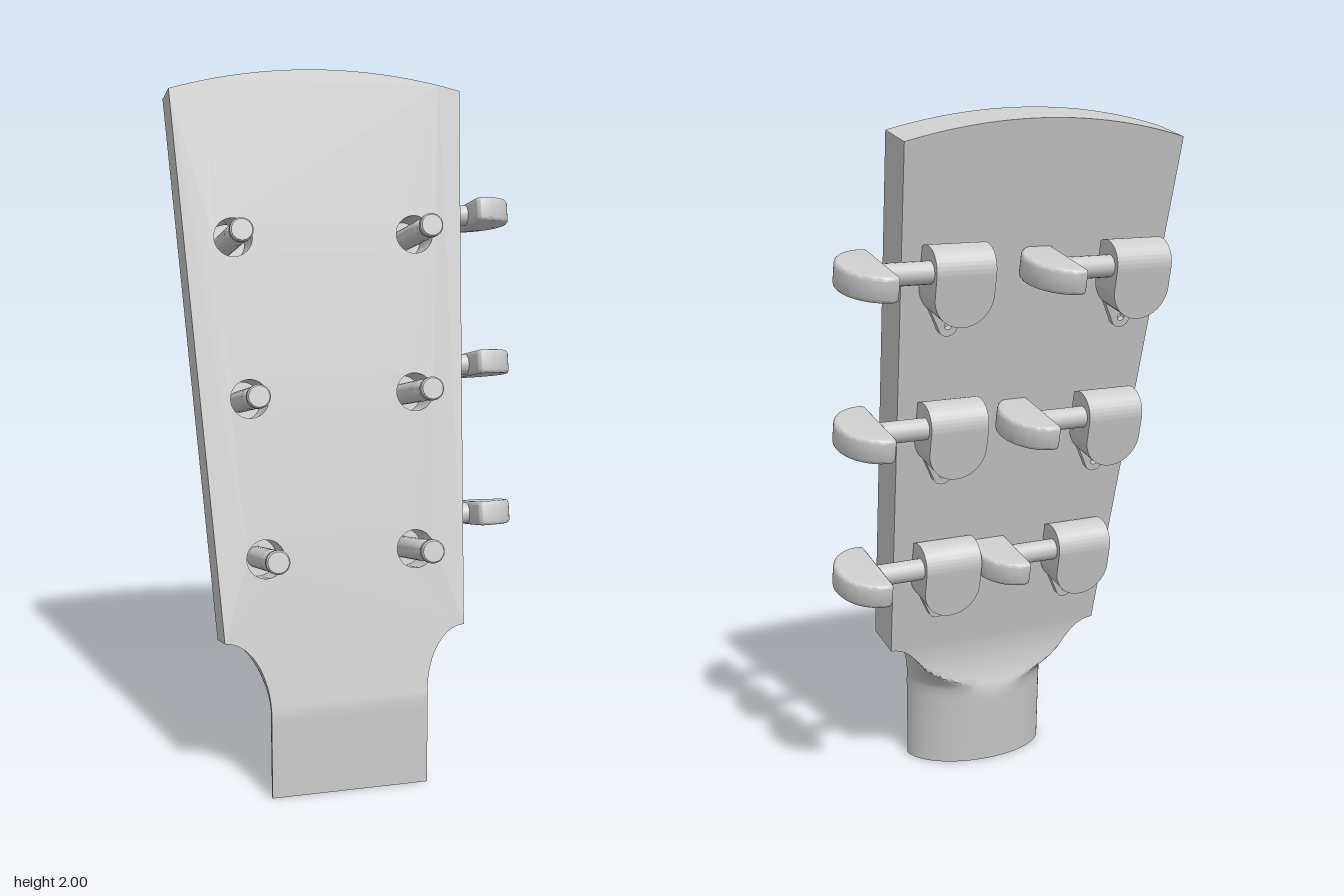
import * as THREE from 'three';
import { toCreasedNormals } from 'three/addons/utils/BufferGeometryUtils.js';

const MID = -0.097;      // centre line of the neck
const TILT = 0.211;      // backward lean of the headstock
const THICK = 0.125;     // headstock thickness
const BEND = 0.25;       // height where the lean starts
const FRONT = 0.275;     // z of the neck's front face
const FLARE = 0.2;       // length of the flare above the bend
const COLUMNS = [[-0.36, -0.337, -0.315], [0.165, 0.141, 0.117]];
const ROWS = [1.319, 0.869, 0.424];
const material = new THREE.MeshStandardMaterial({ color: 0xcccccc, side: THREE.DoubleSide });

function add(parent, name, geometry, x = 0, y = 0, z = 0) {
  const mesh = new THREE.Mesh(geometry, material);
  mesh.name = name;
  mesh.position.set(x, y, z);
  parent.add(mesh);
  return mesh;
}

function extrude(shape, depth, bevel = 0) {
  const g = new THREE.ExtrudeGeometry(shape, {
    depth: depth - 2 * bevel, curveSegments: 20, bevelEnabled: bevel > 0,
    bevelSize: bevel, bevelOffset: -bevel, bevelThickness: bevel, bevelSegments: 3,
  });
  g.translate(0, 0, bevel);
  return toCreasedNormals(g, 0.6);
}

function circlePath(x, y, r) {
  return new THREE.Path().absarc(x, y, r, 0, Math.PI * 2, true);
}

// Rounded neck whose back swells to a crest, then ramps into the flat headstock
function neckGeometry() {
  const N = 40, stations = [];
  for (let i = 0; i <= 8; i++) stations.push(-BEND + (BEND * i) / 8);
  for (let i = 1; i <= 16; i++) stations.push(FLARE * Math.sin((i / 16) * Math.PI / 2));
  const pos = [], index = [];
  for (const v of stations) {
    const t = THREE.MathUtils.clamp(v / FLARE, 0, 1);
    const w = 0.225 + 0.12 * (1 - Math.sqrt(1 - t * t));
    const lean = TILT * t;
    const power = 2 / (2 + 12 * t * t);
    const ramp = THICK + 0.05 * (1 - v / FLARE) ** 2;
    const swell = 0.15 + 0.03 * Math.min(1, (v + BEND) / BEND);
    const y = BEND + (v > 0 ? v * Math.cos(TILT) : v);
    const z = FRONT - (v > 0 ? v * Math.sin(TILT) : 0);
    for (let j = 0; j <= N; j++) {
      const a = (j / N) * Math.PI, c = Math.cos(a);
      const x = w * Math.sign(c) * Math.abs(c) ** power;
      const s = j % N === 0 ? 0 : Math.sin(a) ** power;
      const d = Math.min(ramp, swell * s);
      pos.push(MID + x, y - d * Math.sin(lean), z - d * Math.cos(lean));
    }
  }
  const M = N + 1;
  for (let i = 0; i < stations.length - 1; i++) {
    for (let j = 0; j < M; j++) {
      const a = i * M + j, b = i * M + ((j + 1) % M);
      index.push(a, b, b + M, a, b + M, a + M);
    }
  }
  for (let j = 1; j < N; j++) index.push(0, j + 1, j);
  const g = new THREE.BufferGeometry();
  g.setAttribute('position', new THREE.Float32BufferAttribute(pos, 3));
  g.setIndex(index);
  return toCreasedNormals(g, 0.5);
}

// Tapered board with an arched top and six post holes
function headstockGeometry() {
  const s = new THREE.Shape();
  const half = 0.4215, top = 1.733, sag = 0.057;
  const r = (half * half + sag * sag) / (2 * sag), a = Math.asin(half / r);
  s.moveTo(MID - 0.345, FLARE);
  s.lineTo(MID + 0.345, FLARE);
  s.lineTo(MID + half, top);
  s.absarc(MID, top + sag - r, r, Math.PI / 2 - a, Math.PI / 2 + a, false);
  s.closePath();
  COLUMNS.forEach((xs) => xs.forEach((x, i) => s.holes.push(circlePath(x, ROWS[i], 0.054))));
  return extrude(s, THICK).translate(0, 0, -THICK);
}

// One tuning machine; the origin is the post's centre on the headstock face
function createTuner() {
  const tuner = new THREE.Group();
  const axisY = 0.084, axisZ = -0.185, R = 0.087, back = -0.23, roll = 0.066;

  // String post with a waist
  const profile = [[0, -0.14], [0.031, -0.14], [0.031, 0.075], [0.027, 0.088], [0.023, 0.105],
    [0.024, 0.12], [0.031, 0.145], [0.033, 0.15], [0.033, 0.165], [0.029, 0.17], [0, 0.17]];
  const post = new THREE.LatheGeometry(profile.map((p) => new THREE.Vector2(...p)), 24);
  add(tuner, 'stringPost', toCreasedNormals(post.rotateX(Math.PI / 2), 0.6));

  // Mounting plate narrowing to a tab with a screw hole
  const plate = new THREE.Shape();
  plate.moveTo(R, 0.13);
  plate.lineTo(-R, 0.13);
  plate.lineTo(-R, 0.02);
  plate.lineTo(-0.028, -0.095);
  plate.absarc(0, -0.087, 0.029, Math.PI + 0.25, -0.25, false);
  plate.lineTo(R, 0.02);
  plate.closePath();
  plate.holes.push(circlePath(0, -0.085, 0.011));
  add(tuner, 'mountingPlate', extrude(plate, 0.02), 0, 0, -THICK - 0.02);

  // Gear housing: round at the bottom, rolled over at the top
  const body = new THREE.Shape();
  body.moveTo(R, axisY);
  body.lineTo(-R, axisY);
  body.lineTo(-R, 0.027);
  body.absarc(0, 0.027, R, Math.PI, Math.PI * 2, false);
  body.closePath();
  add(tuner, 'gearHousing', extrude(body, -THICK - back), 0, 0, back);
  const cap = new THREE.Shape();
  cap.moveTo(-THICK, axisY);
  cap.lineTo(-THICK, axisY + roll * 0.8);
  cap.absarc(back + roll, axisY, roll, Math.PI * 0.295, Math.PI, false);
  cap.closePath();
  add(tuner, 'housingTop', extrude(cap, 2 * R).rotateY(-Math.PI / 2), R);

  // Shaft and half-round key
  const shaft = new THREE.CylinderGeometry(0.031, 0.031, 0.18, 20).rotateZ(Math.PI / 2);
  add(tuner, 'keyShaft', shaft, 0.15, axisY, axisZ);
  const key = new THREE.Shape();
  key.moveTo(0, -0.105);
  key.quadraticCurveTo(0, -0.121, 0.018, -0.121);
  key.absellipse(0.018, 0, 0.109, 0.121, -Math.PI / 2, Math.PI / 2, false);
  key.quadraticCurveTo(0, 0.121, 0, 0.105);
  key.closePath();
  const keyGeometry = extrude(key, 0.07, 0.01).translate(0, 0, -0.035).rotateX(Math.PI / 2);
  add(tuner, 'tuningKey', keyGeometry, 0.22, axisY, axisZ);
  return tuner;
}

export function createModel() {
  const model = new THREE.Group();
  model.name = 'guitarHeadstock';
  add(model, 'neck', neckGeometry());

  const head = new THREE.Group();
  head.name = 'head';
  head.position.set(0, BEND, FRONT);
  head.rotation.x = -TILT;
  model.add(head);
  add(head, 'headstock', headstockGeometry());

  // Six tuners, the upper two on one side set further back
  const tuner = createTuner();
  COLUMNS.forEach((xs, c) => xs.forEach((x, i) => {
    const copy = tuner.clone();
    copy.name = `tuner${c * 3 + i + 1}`;
    copy.position.set(x, ROWS[i], c === 0 && i < 2 ? -0.033 : 0);
    head.add(copy);
  }));
  return model;
}
